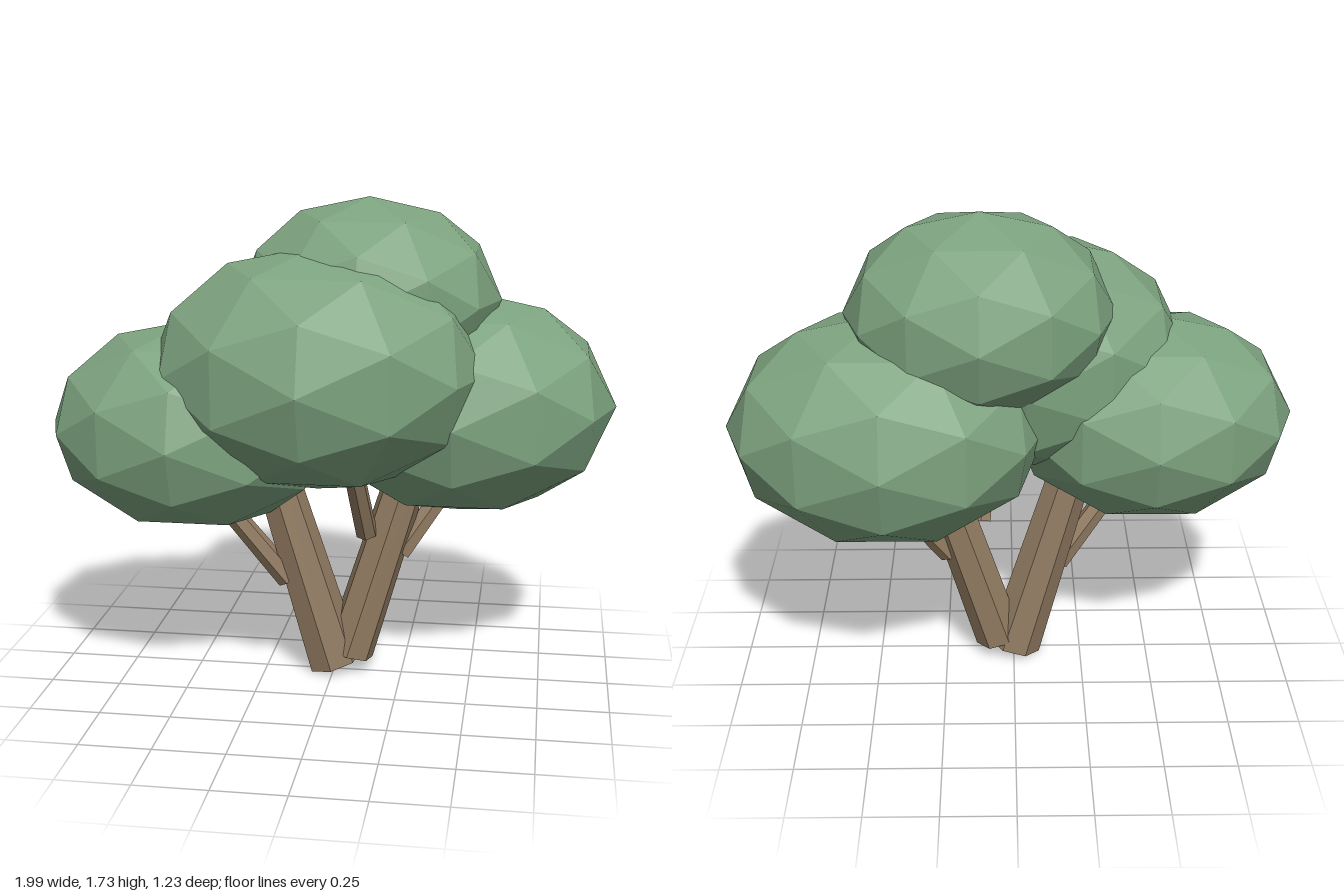
import * as THREE from 'three';

const leafGreen = new THREE.MeshStandardMaterial({ color: 0x7da37f, flatShading: true });
leafGreen.name = 'leafGreen';
const barkBrown = new THREE.MeshStandardMaterial({ color: 0x927c62, flatShading: true });
barkBrown.name = 'barkBrown';

// Faceted ellipsoid of foliage
function crown(name, center, radii) {
  const mesh = new THREE.Mesh(new THREE.IcosahedronGeometry(1, 1), leafGreen);
  mesh.name = name;
  mesh.position.set(...center);
  mesh.scale.set(...radii);
  return mesh;
}

// Tapered limb running between two points
function limb(name, from, to, bottomRadius, topRadius, sides) {
  const a = new THREE.Vector3(...from);
  const b = new THREE.Vector3(...to);
  const dir = b.clone().sub(a);
  const mesh = new THREE.Mesh(
    new THREE.CylinderGeometry(topRadius, bottomRadius, dir.length(), sides), barkBrown);
  mesh.name = name;
  mesh.position.copy(a).add(b).multiplyScalar(0.5);
  mesh.quaternion.setFromUnitVectors(new THREE.Vector3(0, 1, 0), dir.normalize());
  return mesh;
}

export function createModel() {
  const tree = new THREE.Group();
  tree.name = 'tree';

  // Forked trunk
  tree.add(limb('rightTrunk', [0, 0.03, -0.013], [-0.265, 0.94, 0.03], 0.101, 0.075, 7));
  tree.add(limb('leftTrunk', [0.055, 0.07, -0.02], [0.315, 0.93, -0.075], 0.09, 0.075, 7));

  // Side branches
  tree.add(limb('rightBranch', [-0.165, 0.36, 0.03], [-0.43, 0.72, 0.11], 0.042, 0.036, 6));
  tree.add(limb('leftBranch', [0.235, 0.45, -0.06], [0.43, 0.73, -0.15], 0.042, 0.036, 6));
  tree.add(limb('middleBranch', [0.12, 0.54, 0.01], [0.08, 0.9, 0.2], 0.04, 0.036, 6));

  // Foliage
  tree.add(crown('rightCrown', [-0.487, 0.942, 0.083], [0.513, 0.372, 0.438]));
  tree.add(crown('leftCrown', [0.436, 1.0, -0.15], [0.556, 0.405, 0.466]));
  tree.add(crown('frontCrown', [-0.04, 1.163, 0.14], [0.585, 0.425, 0.47]));
  tree.add(crown('topCrown', [0.115, 1.386, -0.075], [0.465, 0.35, 0.42]));

  return tree;
}
